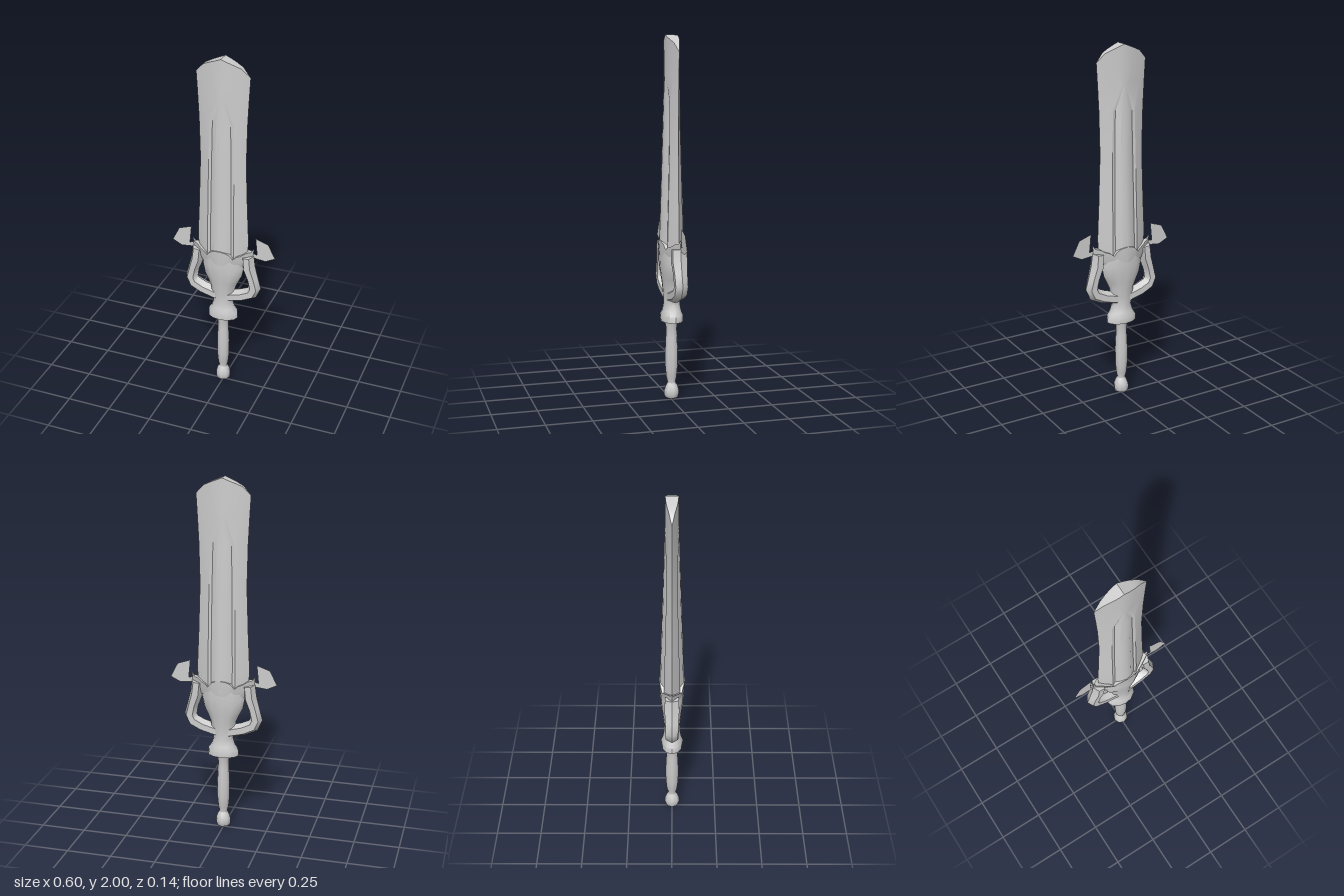
import * as THREE from 'three';
import { toCreasedNormals } from 'three/addons/utils/BufferGeometryUtils.js';

const grey = new THREE.MeshStandardMaterial({ color: 0xcccccc });
const thin = new THREE.MeshStandardMaterial({ color: 0xcccccc, side: THREE.DoubleSide });

function mesh(name, geometry, material = grey) {
  const m = new THREE.Mesh(geometry, material);
  m.name = name;
  return m;
}

// Skin a list of closed rings (arrays of [x, y, z]) and cap both ends.
function loft(rings, crease = 0.55) {
  const n = rings[0].length, last = (rings.length - 1) * n, index = [];
  for (let i = 0; i < rings.length - 1; i++) {
    for (let j = 0; j < n; j++) {
      const a = i * n + j, b = i * n + (j + 1) % n;
      index.push(a, b, b + n, a, b + n, a + n);
    }
  }
  for (let j = 0; j < n / 2; j++) {
    const a = j, b = j + 1, c = n - j - 1, d = (n - j) % n;
    index.push(a, c, b, a, d, c);
    index.push(last + a, last + b, last + c, last + a, last + c, last + d);
  }
  const g = new THREE.BufferGeometry();
  g.setAttribute('position', new THREE.Float32BufferAttribute(rings.flat(2), 3));
  g.setIndex(index);
  return toCreasedNormals(g, crease);
}

// Closed lens ring from a half profile of [x, y, z], listed from the edge to the centre.
function lensRing(half) {
  const inner = half.slice(0, -1).reverse();
  const back = [...half.map(([x, y, z]) => [x, y, -z]), ...inner.map(([x, y, z]) => [-x, y, -z])];
  const front = back.slice(1, -1).reverse().map(([x, y, z]) => [x, y, -z]);
  return [...back, ...front];
}

const lens = (x, width, depth) => depth * (1 - Math.pow(Math.min(1, x / width), 1.6));

// Blade: lens section, grooved outline of a pointed centre panel, peaked top.
function bladeGeometry() {
  // y, half width, panel half width, groove depth
  const rows = [
    [0.84, 0.140, 0.06, 0.010], [0.95, 0.147, 0.06, 0.010], [1.15, 0.138, 0.058, 0.010],
    [1.42, 0.129, 0.055, 0.009], [1.65, 0.134, 0.05, 0.008], [1.79, 0.141, 0.003, 0],
    [1.86, 0.145, 0.03, 0], [1.91, 0.148, 0.05, 0],
  ];
  const rings = rows.map(([y, w, p, groove], i) => {
    const depth = 0.069 - 0.038 * (y - 0.84) / 1.16;
    const xs = [w, w * 0.9, w * 0.7, p + 0.016, p, p / 2, 0];
    return lensRing(xs.map((x, k) => {
      let top = y;
      if (i === rows.length - 1) {
        top = x < 0.1 ? 2 - 0.4 * x : 1.96 - (x - 0.1) * 1.04;
      }
      return [x, top, lens(x, w, depth) - (k === 4 ? groove : 0)];
    }));
  });
  return loft(rings, 0.45);
}

// Crown of the guard: lens section with an arched, horned upper rim.
function crownGeometry() {
  const rim = [[0.18, 0.925], [0.165, 0.90], [0.14, 0.895], [0.12, 0.882],
    [0.09, 0.872], [0.075, 0.858], [0.055, 0.885], [0.03, 0.898], [0, 0.903]];
  const row = (sx, depth, yOf) =>
    lensRing(rim.map(([x, y]) => [x * sx, yOf(x, y), lens(x, 0.18, depth)]));
  return loft([
    row(0.78, 0.062, (x) => 0.78 + 0.15 * x),
    row(0.95, 0.068, (x) => 0.83 + 0.1 * x),
    row(1, 0.072, (x, y) => y),
  ]);
}

// Collar, neck and bulb, as stacked ellipses.
function bodyGeometry() {
  const rows = [[0.45, 0.088, 0.06], [0.485, 0.085, 0.062], [0.51, 0.068, 0.052],
    [0.55, 0.056, 0.045], [0.60, 0.068, 0.046], [0.65, 0.072, 0.051],
    [0.69, 0.09, 0.056], [0.73, 0.11, 0.061], [0.79, 0.122, 0.066], [0.86, 0.11, 0.066]];
  return loft(rows.map(([y, rx, rz]) => Array.from({ length: 12 }, (_, k) => {
    const a = k / 12 * Math.PI * 2;
    return [rx * Math.cos(a), y, -rz * Math.sin(a)];
  })), 0.7);
}

// Curved arm on one side, swept with a six-sided section.
function armGeometry(side) {
  // x, y, half width, half depth
  const path = [[0.03, 0.59, 0.035, 0.04], [0.115, 0.612, 0.036, 0.038],
    [0.17, 0.638, 0.037, 0.036], [0.187, 0.675, 0.035, 0.036],
    [0.173, 0.735, 0.031, 0.037], [0.152, 0.80, 0.036, 0.042], [0.145, 0.87, 0.034, 0.04]];
  const rings = path.map(([x, y, w, d], i) => {
    const p = path[Math.max(0, i - 1)], q = path[Math.min(path.length - 1, i + 1)];
    const t = new THREE.Vector2(q[0] - p[0], q[1] - p[1]).normalize();
    const ring = Array.from({ length: 6 }, (_, k) => {
      const a = k / 6 * Math.PI * 2, u = w * Math.cos(a);
      return [side * (x + t.y * u), y - t.x * u, -d * Math.sin(a) * 1.1];
    });
    return side < 0 ? ring.reverse() : ring;
  });
  return loft(rings, 0.8);
}

// Flat fin beside the crown.
function finGeometry(side) {
  const outline = [[0.155, 0.865], [0.245, 0.855], [0.30, 0.882], [0.26, 0.962],
    [0.187, 0.987], [0.197, 0.885], [0.165, 0.895]];
  return new THREE.ShapeGeometry(
    new THREE.Shape(outline.map(([x, y]) => new THREE.Vector2(side * x, y))));
}

export function createModel() {
  const model = new THREE.Group();
  model.name = 'sword';

  model.add(mesh('blade', bladeGeometry()));
  model.add(mesh('guardCrown', crownGeometry()));
  model.add(mesh('guardBody', bodyGeometry()));
  for (const [name, side] of [['left', 1], ['right', -1]]) {
    model.add(mesh(name + 'GuardArm', armGeometry(side)));
    model.add(mesh(name + 'Fin', finGeometry(side), thin));
  }

  // Grip and pommel
  const grip = [[0.025, 0.09], [0.023, 0.105], [0.03, 0.13], [0.036, 0.19], [0.037, 0.28],
    [0.033, 0.36], [0.031, 0.41], [0.04, 0.455]];
  const pommel = [[0, 0], [0.038, 0.017], [0.043, 0.035], [0.042, 0.058], [0.034, 0.08], [0.023, 0.1]];
  const turned = (points) => toCreasedNormals(
    new THREE.LatheGeometry(points.map(([r, y]) => new THREE.Vector2(r, y)), 8), 0.9);
  model.add(mesh('grip', turned(grip)));
  model.add(mesh('pommel', turned(pommel)));

  return model;
}
